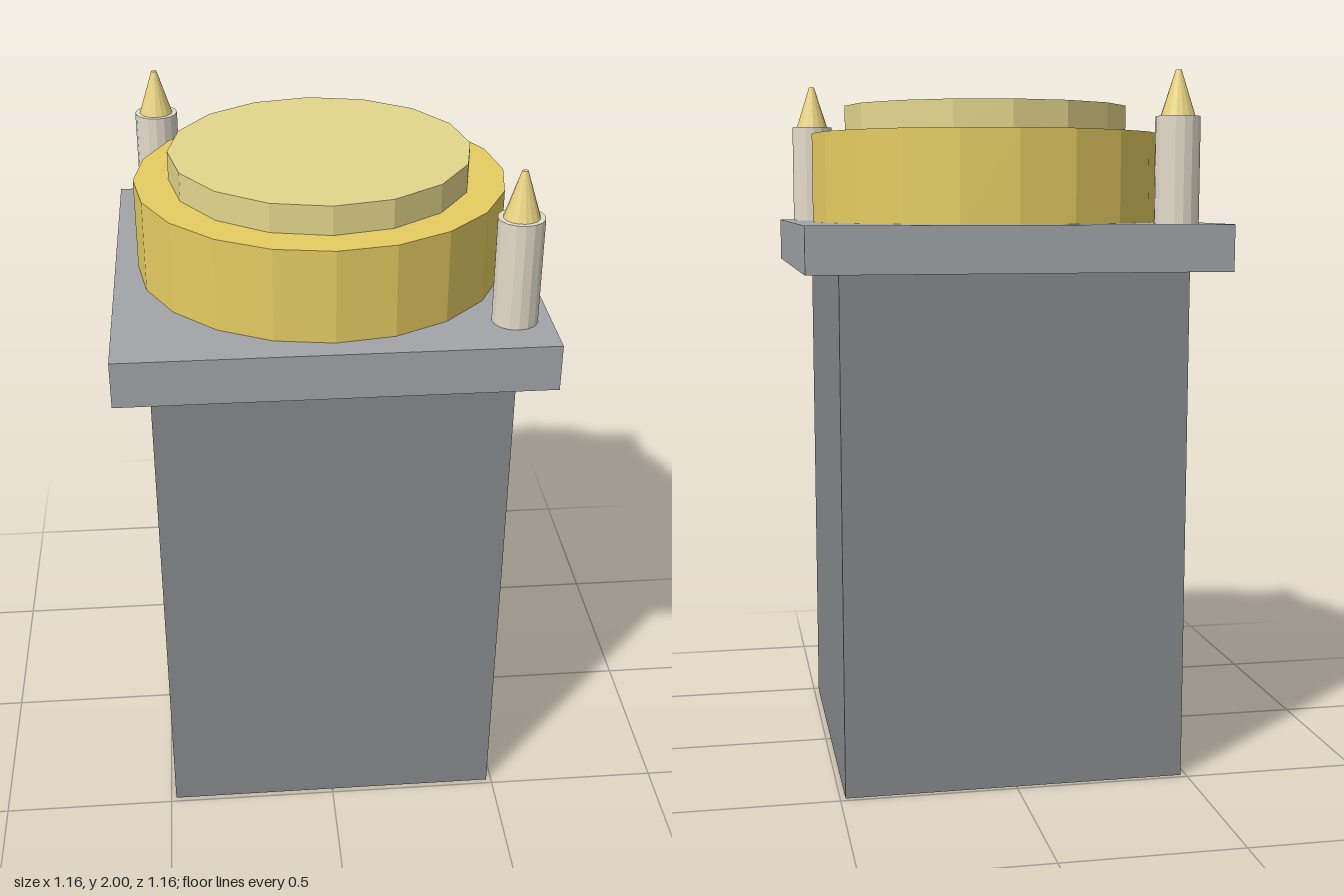
import * as THREE from 'three';

const paint = (color) => new THREE.MeshStandardMaterial({ color, flatShading: true });

export function createModel() {
  const model = new THREE.Group();
  model.name = 'pedestalWithDrum';

  const bodyGrey = paint(0x88898c);
  const plateGrey = paint(0xa3a4a8);
  const gold = paint(0xe6cc62);
  const paleGold = paint(0xe4d68c);
  const ivory = paint(0xe4dccb);
  const flameYellow = paint(0xead582);

  // Adds a mesh whose underside rests at height y
  function add(name, geometry, material, height, y, x = 0, z = 0, parent = model) {
    const mesh = new THREE.Mesh(geometry, material);
    mesh.name = name;
    mesh.position.set(x, y + height / 2, z);
    parent.add(mesh);
    return mesh;
  }

  // Square column and overhanging slab
  add('column', new THREE.BoxGeometry(0.97, 1.455, 0.97), bodyGrey, 1.455, 0);
  add('slab', new THREE.BoxGeometry(1.16, 0.128, 1.16), plateGrey, 0.128, 1.455);

  // Faceted drum with a smaller lid
  add('drum', new THREE.CylinderGeometry(0.515, 0.515, 0.257, 20), gold, 0.257, 1.583);
  add('lid', new THREE.CylinderGeometry(0.418, 0.418, 0.08, 16), paleGold, 0.08, 1.84);

  // Two posts with pointed tips on opposite corners
  for (const [name, x, z] of [['frontLeftPost', 0.483, 0.42], ['backRightPost', -0.453, -0.453]]) {
    const post = new THREE.Group();
    post.name = name;
    add('shaft', new THREE.CylinderGeometry(0.062, 0.062, 0.292, 16), ivory, 0.292, 1.583, x, z, post);
    add('tip', new THREE.CylinderGeometry(0.008, 0.048, 0.125, 16), flameYellow, 0.125, 1.875, x, z, post);
    model.add(post);
  }

  return model;
}
